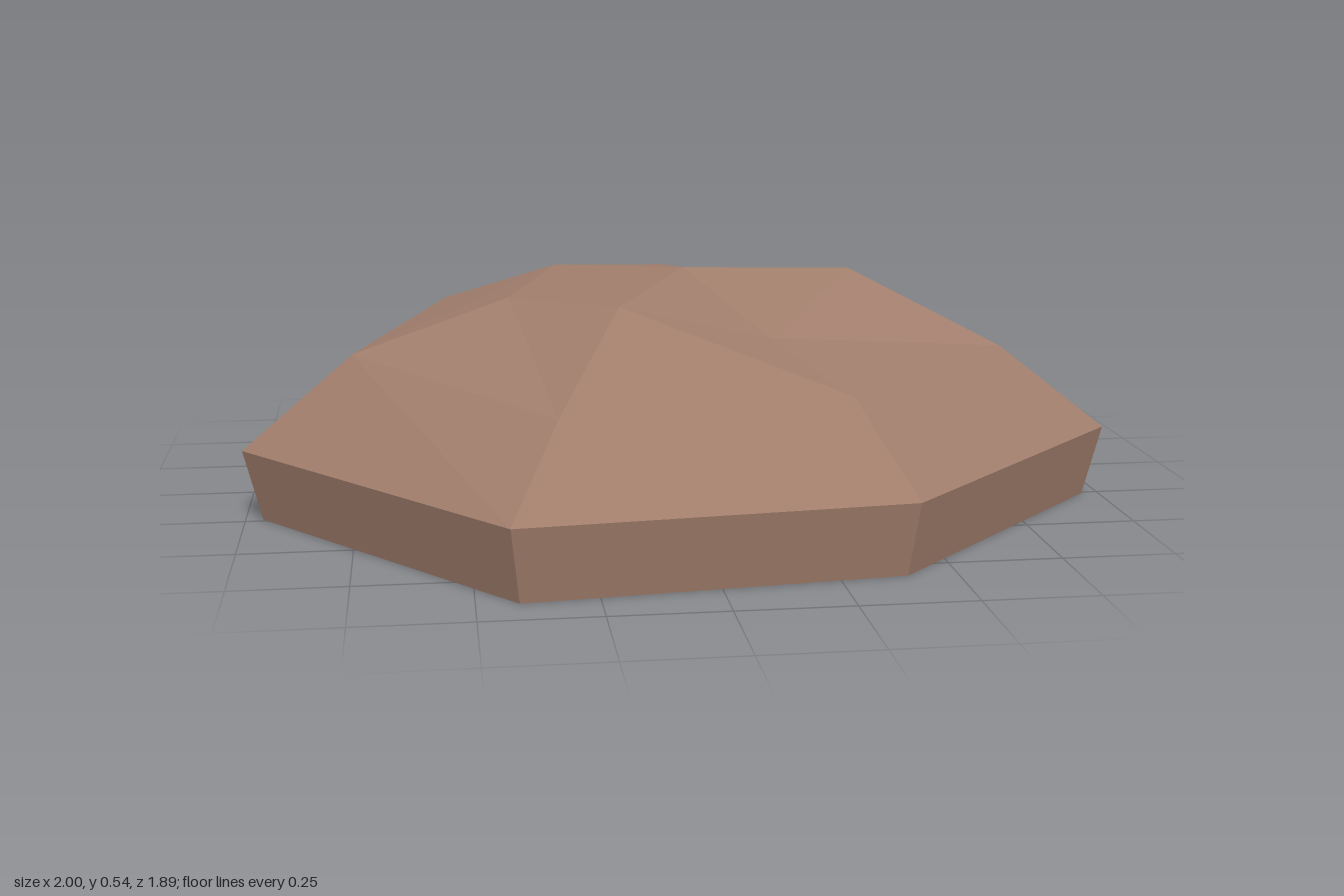
import * as THREE from 'three';

// Corners of each ring as [x, y, z], clockwise seen from above
const rim = [[-0.69, -0.55], [0.04, -0.95], [0.84, -0.59], [1, 0.27], [0.41, 0.86], [-0.43, 0.94], [-1, 0.25]];
const shoulder = [
  [-0.53, 0.39, -0.42], [0.04, 0.41, -0.71], [0.65, 0.33, -0.44], [0.76, 0.355, 0.21],
  [0.31, 0.345, 0.66], [-0.32, 0.33, 0.73], [-0.75, 0.37, 0.2],
];
const crown = [
  [-0.26, 0.505, -0.2], [0.03, 0.475, -0.36], [0.35, 0.42, -0.22], [0.41, 0.535, 0.13],
  [0.18, 0.42, 0.38], [-0.16, 0.5, 0.39], [-0.39, 0.48, 0.12],
];
const apex = [0.03, 0.53, 0.04];

// Unshared triangles give every facet its own flat normal
function facetMesh(name, triangles, material) {
  const geometry = new THREE.BufferGeometry();
  geometry.setAttribute('position', new THREE.Float32BufferAttribute(triangles.flat(2), 3));
  geometry.computeVertexNormals();
  const mesh = new THREE.Mesh(geometry, material);
  mesh.name = name;
  return mesh;
}

// Wall of quads between a lower and an upper ring
function band(lower, upper) {
  return lower.flatMap((p, i) => {
    const j = (i + 1) % lower.length;
    return [[p, upper[i], upper[j]], [p, upper[j], lower[j]]];
  });
}

// Fan of triangles from a ring to one point
function fan(ring, point, down = false) {
  return ring.map((p, i) => {
    const q = ring[(i + 1) % ring.length];
    return down ? [p, q, point] : [p, point, q];
  });
}

export function createModel() {
  const group = new THREE.Group();
  group.name = 'rock';
  const stone = new THREE.MeshStandardMaterial({ color: 0xa07d6b });
  stone.name = 'brown stone';
  stone.flatShading = true;

  const foot = rim.map(([x, z]) => [x * 0.96, 0, z * 0.96]);
  const edge = rim.map(([x, z]) => [x, 0.165, z]);

  group.add(
    facetMesh('underside', fan(foot, [0, 0, 0], true), stone),
    facetMesh('baseWall', band(foot, edge), stone),
    facetMesh('lowerSlope', band(edge, shoulder), stone),
    facetMesh('upperSlope', band(shoulder, crown), stone),
    facetMesh('peak', fan(crown, apex), stone),
  );
  return group;
}
